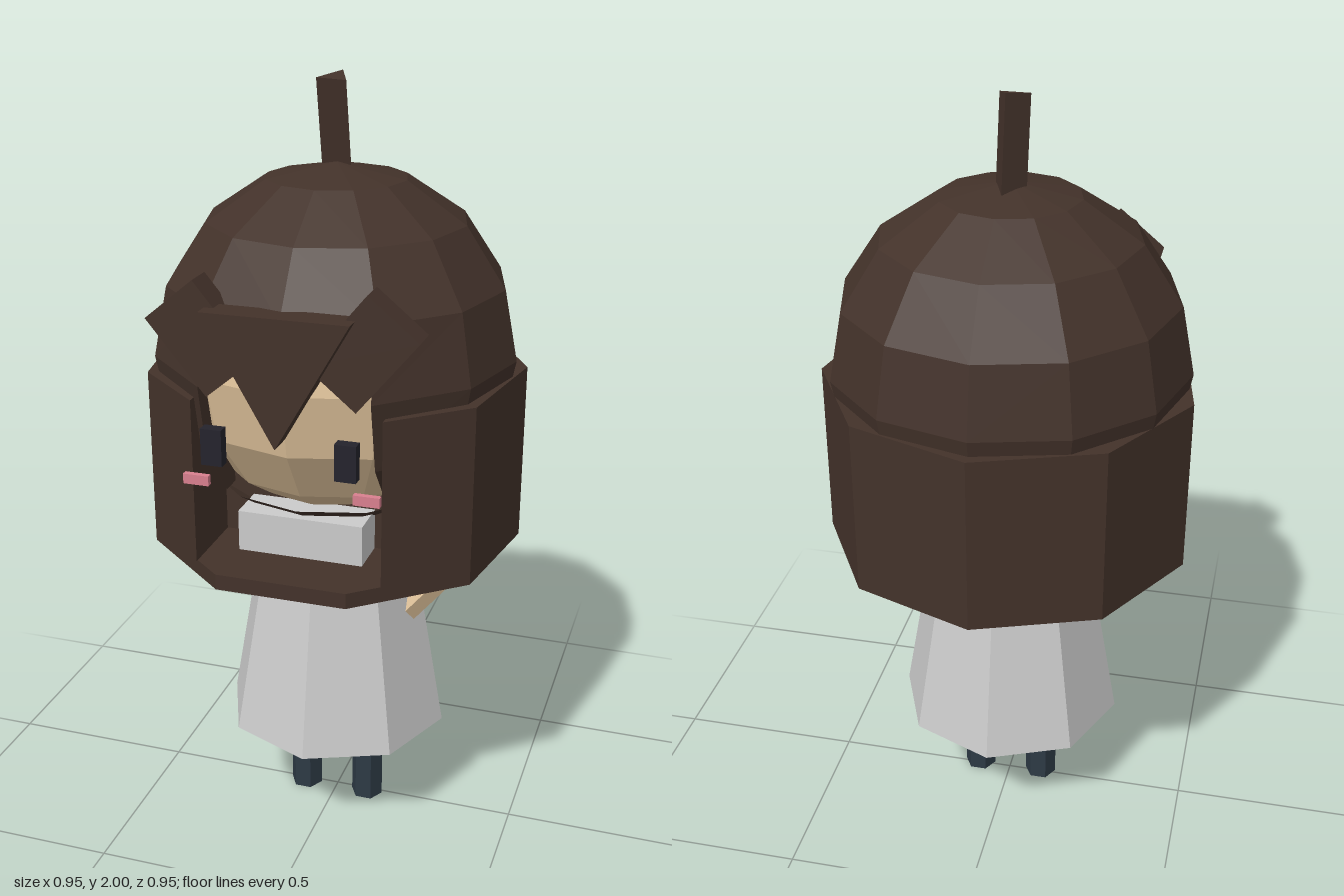
import * as THREE from 'three';

const mat = (color, side = THREE.FrontSide) =>
  new THREE.MeshStandardMaterial({ color, flatShading: true, side });

export function createModel() {
  const group = new THREE.Group();
  const hair = mat(0x43322a);
  const hairOpen = mat(0x43322a, THREE.DoubleSide);
  const skin = mat(0xdfc29a);
  const cloth = mat(0xcccccc);
  const dark = mat(0x24232c);
  const pink = mat(0xd9808f);
  const legMat = mat(0x2d3a45);
  const cz = 0.007;

  const add = (name, geo, material, x = 0, y = 0, z = 0) => {
    const mesh = new THREE.Mesh(geo, material);
    mesh.name = name;
    mesh.position.set(x, y, z);
    group.add(mesh);
    return mesh;
  };

  // Head and hair ball share a centre
  const headY = 1.33, R = 0.46, step = Math.PI / 8;
  add('head', new THREE.SphereGeometry(0.42, 12, 8), skin, 0, headY, cz);
  add('hairCrown', new THREE.SphereGeometry(R, 12, 3, 0, Math.PI * 2, 0, 3 * step), hairOpen, 0, headY, cz);
  add('hairUnderside', new THREE.SphereGeometry(R, 12, 2, 0, Math.PI * 2, 6 * step, 2 * step), hairOpen, 0, headY, cz);

  // Middle of the hair ball, cut away in front of the face
  const cut = 0.21, pos = [], idx = [];
  let cols = 0;
  for (let row = -2; row <= 1; row++) {
    const r = R * Math.cos(row * step), y = R * Math.sin(row * step);
    const a0 = Math.asin(cut / r);
    const ring = [[cut, r * Math.cos(a0) - 0.1], [cut, r * Math.cos(a0)]];
    for (let k = 2; k <= 10; k++) {
      const a = (k * Math.PI) / 6;
      ring.push([r * Math.sin(a), r * Math.cos(a)]);
    }
    ring.push([-cut, r * Math.cos(a0)], [-cut, r * Math.cos(a0) - 0.1]);
    cols = ring.length;
    ring.forEach(([x, z]) => pos.push(x, y, z));
  }
  for (let i = 0; i < 3; i++) {
    for (let j = 0; j < cols - 1; j++) {
      const a = i * cols + j, b = a + 1, c = a + cols, d = c + 1;
      idx.push(a, b, d, a, d, c);
    }
  }
  const band = new THREE.BufferGeometry();
  band.setAttribute('position', new THREE.Float32BufferAttribute(pos, 3));
  band.setIndex(idx);
  band.computeVertexNormals();
  add('hairSides', band, hairOpen, 0, headY, cz);

  // Nine-sided bob: floor slab, then walls with a notch at the front
  const corner = (k) => {
    const a = (k * 2 * Math.PI) / 9;
    return new THREE.Vector2(0.48 * Math.sin(a), 0.48 * Math.cos(a) - cz);
  };
  const prism = (points, depth) =>
    new THREE.ExtrudeGeometry(new THREE.Shape(points), { depth, bevelEnabled: false }).rotateX(-Math.PI / 2);
  const all = [], open = [];
  for (let k = -4; k <= 4; k++) all.push(corner(k));
  for (let k = -3; k <= 3; k++) open.push(corner(k));
  [[0.235, -0.405], [0.235, -0.2], [-0.235, -0.2], [-0.235, -0.405]]
    .forEach(([x, y]) => open.push(new THREE.Vector2(x, y)));
  add('bobFloor', prism(all, 0.04), hair, 0, 0.83, 0);
  add('bobWalls', prism(open, 0.42), hair, 0, 0.87, 0);

  // Pointed centre fringe
  const fringe = new THREE.Shape([
    new THREE.Vector2(-0.178, 1.53), new THREE.Vector2(0, 1.22), new THREE.Vector2(0.178, 1.53)]);
  add('centreFringe', new THREE.ExtrudeGeometry(fringe, { depth: 0.075, bevelEnabled: false }), hair, 0, 0, 0.4);

  // Three-sided tuft on top, leaning forward
  const tuft = add('tuft', new THREE.CylinderGeometry(0.045, 0.045, 0.23, 3, 1, false, Math.PI - 0.13), hair, 0, 1.88, 0);
  tuft.rotation.x = 0.2;

  // Dress and collar block
  add('dress', new THREE.CylinderGeometry(0.18, 0.302, 0.69, 8), cloth, 0, 0.625, cz);
  add('collar', new THREE.BoxGeometry(0.32, 0.13, 0.31), cloth, 0, 0.91, 0.155);

  // Mirrored parts
  for (const [s, side] of [[1, 'left'], [-1, 'right']]) {
    const lock = add(side + 'Fringe', new THREE.BoxGeometry(0.156, 0.228, 0.075), hair, s * 0.193, 1.453, 0.398);
    lock.rotation.z = -s * 0.69;

    add(side + 'Eye', new THREE.BoxGeometry(0.052, 0.09, 0.03), dark, s * 0.163, 1.2, 0.445);
    add(side + 'Cheek', new THREE.BoxGeometry(0.064, 0.025, 0.015), pink, s * 0.21, 1.108, 0.44);

    const arm = add(side + 'Arm', new THREE.CylinderGeometry(0.036, 0.036, 0.25, 5), skin, s * 0.265, 0.7, 0.04);
    arm.rotation.z = -s * 0.69;

    const leg = new THREE.CylinderGeometry(0.044, 0.044, 0.25, 6, 1, false, Math.PI / 6);
    add(side + 'Leg', leg, legMat, s * 0.09, 0.125, 0.01);
  }
  return group;
}
